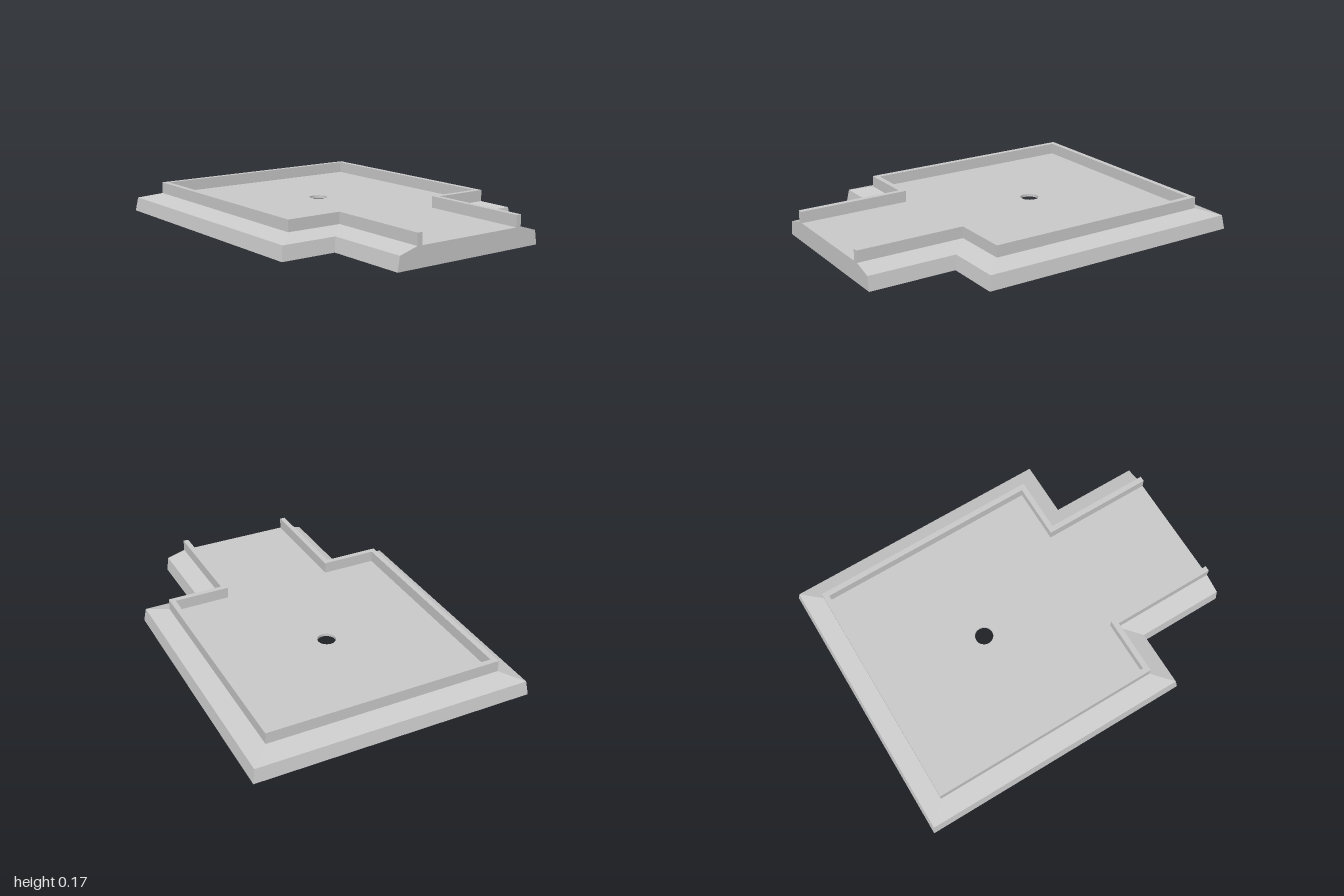
import * as THREE from 'three';

const FLOOR_Y = 0.107, RIM_Y = 0.17;
// Cross-section of the border: inset from the outer outline, height
const SKIRT = [[0, 0], [0.012, 0.077]];
const SLOPE = [[0.012, 0.077], [0.117, FLOOR_Y]];
const RIM = [[0.117, FLOOR_Y], [0.117, RIM_Y], [0.147, RIM_Y], [0.147, FLOOR_Y]];

// Outline (x, z) of the T-shaped plan, inset by d; open at the x = 1 end
function outline(d) {
  const side = [[1, 0.455 - d], [0.525 - d, 0.455 - d], [0.525 - d, 0.765 - d], [-1 + d, 0.765 - d]];
  return [...side, ...side.map(([x, z]) => [x, -z]).reverse()];
}

// Sweep a border section around the outline with mitred corners
function sweep(section) {
  const rings = section.map(([d, y]) => outline(d).map(([x, z]) => [x, y, z]));
  const pos = [];
  for (let j = 0; j < rings.length - 1; j++) {
    const lo = rings[j], hi = rings[j + 1];
    for (let i = 0; i < lo.length - 1; i++) {
      pos.push(...lo[i], ...hi[i + 1], ...hi[i], ...lo[i], ...lo[i + 1], ...hi[i + 1]);
    }
  }
  const geo = new THREE.BufferGeometry();
  geo.setAttribute('position', new THREE.Float32BufferAttribute(pos, 3));
  geo.computeVertexNormals();
  return geo;
}

const toShape = (pts) => new THREE.Shape(pts.map(([x, y]) => new THREE.Vector2(x, y)));

export function createModel() {
  const group = new THREE.Group();
  const material = new THREE.MeshStandardMaterial({ color: 0xcccccc, flatShading: true, side: THREE.DoubleSide });
  const add = (name, geo) => {
    const mesh = new THREE.Mesh(geo, material);
    mesh.name = name;
    group.add(mesh);
    return mesh;
  };

  // Hollow border: tapered skirt, sloping ledge and raised rim
  add('skirt', sweep(SKIRT));
  add('ledge', sweep(SLOPE));
  add('rim', sweep(RIM));

  // Floor with a round drain hole
  const floor = toShape(outline(0.147).map(([x, z]) => [x, -z]));
  const hole = new THREE.Path();
  hole.absarc(-0.24, 0, 0.05, 0, Math.PI * 2, true);
  floor.holes.push(hole);
  add('floor', new THREE.ShapeGeometry(floor, 16).rotateX(-Math.PI / 2).translate(0, FLOOR_Y, 0));

  // Short wall of the drain hole
  add('drainWall', new THREE.CylinderGeometry(0.05, 0.05, 0.015, 32, 1, true))
    .position.set(-0.24, FLOOR_Y - 0.0075, 0);

  // Flat end of the narrow arm, following the border section on both sides
  const half = [...SKIRT, ...SLOPE.slice(1), ...RIM.slice(1)].map(([d, y]) => [0.455 - d, y]);
  const end = toShape([...half, ...half.map(([z, y]) => [-z, y]).reverse()]);
  add('armEnd', new THREE.ShapeGeometry(end).rotateY(Math.PI / 2).translate(1, 0, 0));

  return group;
}
